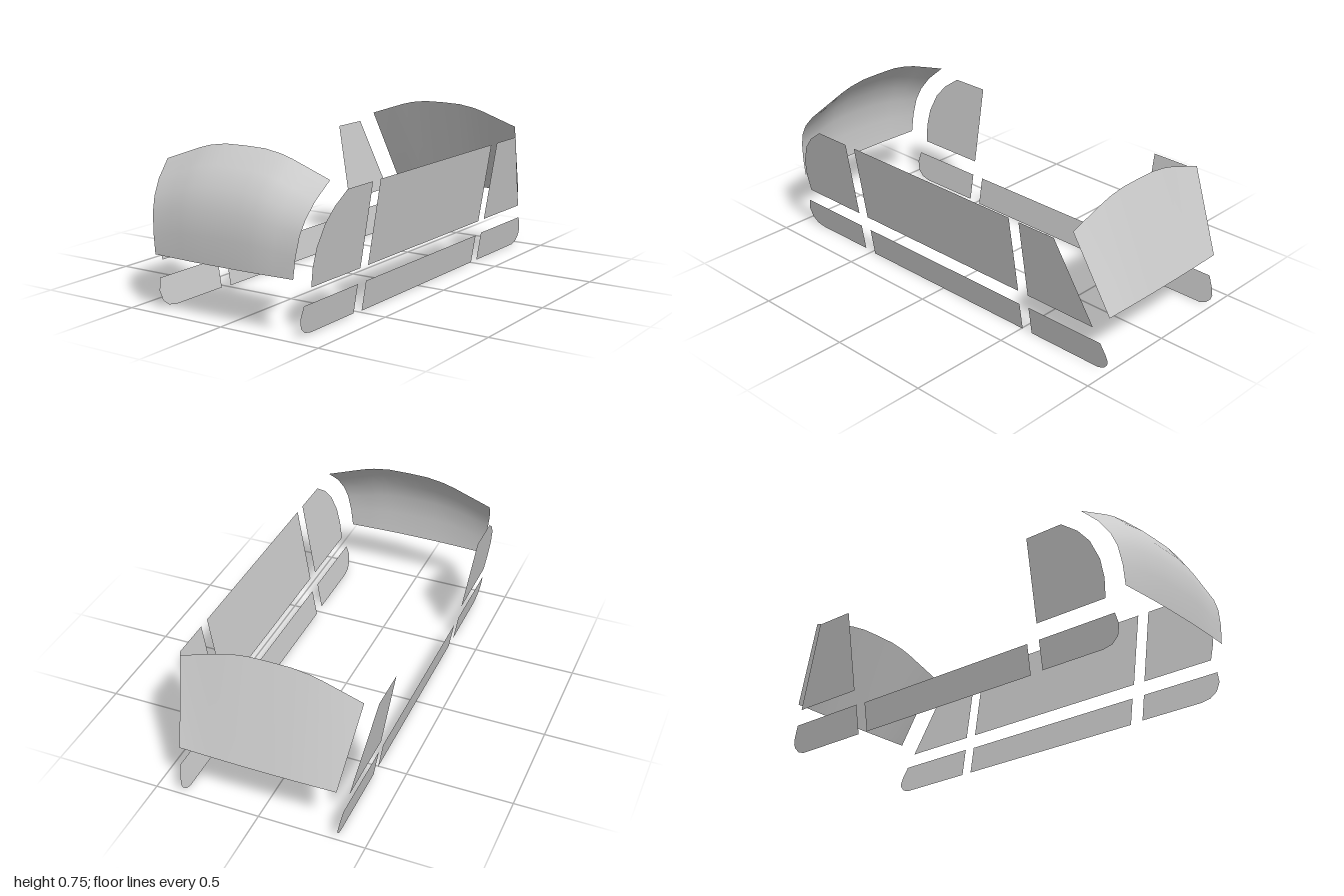
import * as THREE from 'three';

const material = new THREE.MeshStandardMaterial({ color: 0xcccccc, side: THREE.DoubleSide });

// Flat body-side panel: outline in [z, y], leaning outward with height
function sidePanel(name, outline, side) {
  const shape = new THREE.Shape(outline.map(([z, y]) => new THREE.Vector2(z, y)));
  const geo = new THREE.ShapeGeometry(shape);
  const pos = geo.attributes.position;
  for (let i = 0; i < pos.count; i++) {
    const z = pos.getX(i), y = pos.getY(i);
    pos.setXYZ(i, side * (0.364 + 0.164 * y), y, z);
  }
  // Turn the faces outward on the left side
  if (side > 0) geo.setIndex(Array.from(geo.index.array).reverse());
  geo.computeVertexNormals();
  const mesh = new THREE.Mesh(geo, material);
  mesh.name = name;
  return mesh;
}

// Share of the drop from centre to edge, across the width of a screen
const crown = [[0, 0], [0.24, 0.02], [0.43, 0.15], [0.56, 0.31], [0.72, 0.56], [1, 1]];
const across = [...crown.slice(1).reverse().map(([u, d]) => [-u, d]), ...crown];

// Curved screen lofted through rows of [centre z, centre y, edge z, edge y, half width]
function screen(name, rows, facing) {
  const points = [], index = [], n = across.length;
  rows.forEach(([cz, cy, ez, ey, half], r) => {
    across.forEach(([u, d], c) => {
      points.push(u * half, cy + (ey - cy) * d, cz + (ez - cz) * d);
      if (r && c) {
        const a = (r - 1) * n + c - 1, b = a + 1, e = a + n, f = e + 1;
        if (facing > 0) index.push(a, e, b, b, e, f);
        else index.push(a, b, e, b, f, e);
      }
    });
  });
  const geo = new THREE.BufferGeometry();
  geo.setAttribute('position', new THREE.Float32BufferAttribute(points, 3));
  geo.setIndex(index);
  geo.computeVertexNormals();
  const mesh = new THREE.Mesh(geo, material);
  mesh.name = name;
  return mesh;
}

const rect = (z0, z1, y0, y1) => [[z0, y0], [z1, y0], [z1, y1], [z0, y1]];

const panels = {
  FrontUpperPanel: [[0.54, 0.212], [0.903, 0.212], [0.912, 0.3], [0.902, 0.385], [0.864, 0.476], [0.81, 0.54], [0.73, 0.598], [0.54, 0.598]],
  MiddleUpperPanel: rect(-0.508, 0.481, 0.212, 0.598),
  RearUpperPanel: [[-0.933, 0.212], [-0.564, 0.212], [-0.564, 0.598], [-0.762, 0.598]],
  FrontLowerPanel: [[0.542, 0.005], [0.86, 0.005], [0.906, 0.014], [0.938, 0.04], [0.951, 0.085], [0.938, 0.139], [0.542, 0.139]],
  MiddleLowerPanel: rect(-0.505, 0.478, 0, 0.139),
  RearLowerPanel: [[-0.94, 0], [-0.559, 0], [-0.559, 0.142], [-0.967, 0.142], [-0.993, 0.085], [-1, 0.055], [-0.994, 0.035], [-0.973, 0.012]],
};

export function createModel() {
  const model = new THREE.Group();

  // Side panels; the right side has an open doorway instead of a middle upper panel
  for (const [label, side] of [['left', 1], ['right', -1]]) {
    for (const [name, outline] of Object.entries(panels)) {
      if (side < 0 && name === 'MiddleUpperPanel') continue;
      model.add(sidePanel(label + name, outline, side));
    }
  }

  // Rounded windscreen, top row first
  model.add(screen('windscreen', [
    [0.813, 0.745, 0.813, 0.646, 0.432],
    [0.9, 0.665, 0.893, 0.572, 0.415],
    [0.957, 0.583, 0.94, 0.505, 0.401],
    [0.989, 0.49, 0.966, 0.44, 0.389],
    [1, 0.38, 0.98, 0.35, 0.377],
    [0.994, 0.258, 0.983, 0.258, 0.367],
  ], 1));

  // Straight sloping rear window
  model.add(screen('rearWindow', [
    [-0.83, 0.728, -0.83, 0.638, 0.422],
    [-1, 0.268, -0.995, 0.268, 0.367],
  ], -1));

  return model;
}
